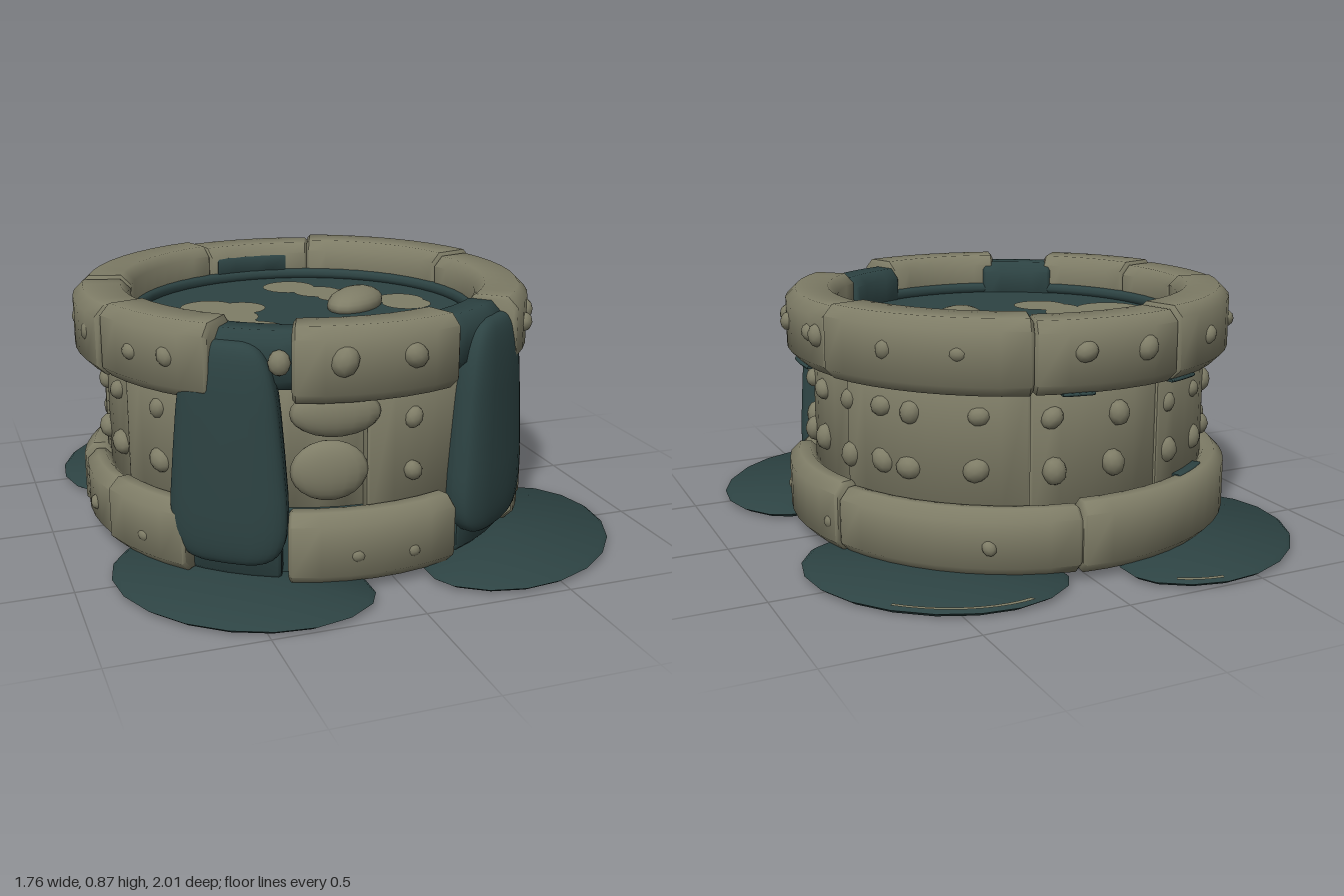
import * as THREE from 'three';
import { toCreasedNormals } from 'three/addons/utils/BufferGeometryUtils.js';

const RAD = Math.PI / 180;
const stone = new THREE.MeshStandardMaterial({ name: 'stone', color: 0x7f7d67 });
const water = new THREE.MeshStandardMaterial({ name: 'water', color: 0x2d4343 });
const waterSheet = new THREE.MeshStandardMaterial({ name: 'water sheet', color: 0x2d4343, side: THREE.DoubleSide });

let seed = 7;
const rand = () => (seed = (seed * 16807) % 2147483647) / 2147483647;
const points = list => list.map(([x, y]) => new THREE.Vector2(x, y));

function add(parent, name, geo, mat, x = 0, y = 0, z = 0) {
  const m = new THREE.Mesh(geo, mat);
  m.name = name;
  m.position.set(x, y, z);
  parent.add(m);
  return m;
}

// Curved block with a bevelled cross-section; angles run in degrees from +z towards +x
function block(r0, r1, y0, y1, a0, a1, b = 0.035) {
  const prof = [[r1 - b, y0], [r1, y0 + b], [r1, y1 - b], [r1 - b, y1],
    [r0 + b, y1], [r0, y1 - b], [r0, y0 + b], [r0 + b, y0]];
  const n = prof.length, cr = (r0 + r1) / 2, cy = (y0 + y1) / 2;
  const steps = Math.max(3, Math.round((a1 - a0) / 7));
  const rings = [[a0, 0.9], [a1, 0.9]];
  for (let i = 0; i <= steps; i++) rings.splice(-1, 0, [a0 + 0.8 + (a1 - a0 - 1.6) * i / steps, 1]);
  const pos = [], idx = [];
  const put = (r, y, a) => pos.push(r * Math.sin(a * RAD), y, r * Math.cos(a * RAD));
  for (const [a, s] of rings) for (const [r, y] of prof) put(cr + (r - cr) * s, cy + (y - cy) * s, a);
  for (let i = 0; i < rings.length - 1; i++) for (let j = 0; j < n; j++) {
    const p = i * n + j, q = i * n + (j + 1) % n;
    idx.push(p, p + n, q + n, p, q + n, q);
  }
  const c = rings.length * n, last = c - n;
  put(cr, cy, a0);
  put(cr, cy, a1);
  for (let j = 0; j < n; j++) {
    const k = (j + 1) % n;
    idx.push(c, j, k, c + 1, last + k, last + j);
  }
  const g = new THREE.BufferGeometry();
  g.setAttribute('position', new THREE.Float32BufferAttribute(pos, 3));
  g.setIndex(idx);
  return toCreasedNormals(g, 0.85);
}

// Soft slab wrapped round the drum, wider at the bottom
function cascade(centre, halfTop, halfBottom) {
  const g = new THREE.SphereGeometry(1, 28, 24);
  const p = g.attributes.position;
  const soft = v => Math.sign(v) * Math.abs(v) ** 0.5;
  for (let i = 0; i < p.count; i++) {
    const x = soft(p.getX(i)), y = soft(p.getY(i)), z = soft(p.getZ(i));
    const half = THREE.MathUtils.lerp(halfBottom, halfTop, (y + 1) / 2);
    const a = (centre + x * half * 1.06) * RAD, r = 0.735 + 0.07 * z - 0.012 * y;
    p.setXYZ(i, r * Math.sin(a), 0.455 + 0.365 * y, r * Math.cos(a));
  }
  g.computeVertexNormals();
  return g;
}

function boulder(parent, name, x, y, z, sx, sy, sz, turn) {
  const m = add(parent, name, new THREE.SphereGeometry(1, 16, 12), stone, x, y, z);
  m.scale.set(sx, sy, sz);
  m.rotation.y = turn;
}

export function createModel() {
  const model = new THREE.Group();
  model.name = 'fountain';
  const drum = new THREE.Group();
  drum.name = 'drum';
  drum.position.x = -0.065;
  model.add(drum);

  // Stone courses, open at the front where water spills: start, end, outer radius
  const rim = [[-21, 21, 0.785], [45, 106, 0.795], [106, 160, 0.805], [160, 198, 0.795],
    [198, 254, 0.795], [254, 286, 0.81], [286, 320, 0.8]];
  const wall = [[-2, 47], [47, 106], [106, 160], [160, 198], [198, 258], [258, 286], [286, 335]];
  const base = [[-22, 20], [51, 66], [66, 109], [109, 172], [172, 260], [260, 286], [286, 313]];
  rim.forEach(([a, b, r], i) => add(drum, 'rimStone', block(0.61, r, 0.63, i % 2 ? 0.865 : 0.875, a, b), stone));
  wall.forEach(([a, b], i) => add(drum, 'wallPanel',
    block(0.66, i % 2 ? 0.705 : 0.715, 0.2, 0.68, a, b, 0.012), stone));
  base.forEach(([a, b], i) => add(drum, 'baseStone',
    block(0.69, i % 2 ? 0.79 : 0.8, 0.035, i % 2 ? 0.26 : 0.275, a, b), stone));

  // Recess filled with boulders
  add(drum, 'recessPanel', block(0.66, 0.675, 0.2, 0.68, -30, 0, 0.005), stone);
  boulder(drum, 'recessBoulder', -0.145, 0.395, 0.69, 0.125, 0.1, 0.045, -0.2);
  boulder(drum, 'recessBoulder', -0.125, 0.585, 0.69, 0.145, 0.08, 0.045, -0.2);

  // Water lining, surface and lip
  const lining = points([[0.69, 0.035], [0.685, 0.25], [0.657, 0.27], [0.655, 0.62], [0.606, 0.65], [0.605, 0.755]]);
  add(drum, 'innerLining', toCreasedNormals(new THREE.LatheGeometry(lining, 48), 0.7), waterSheet);
  const surface = add(drum, 'waterSurface', new THREE.CircleGeometry(0.63, 48), waterSheet, 0, 0.73, 0);
  surface.rotation.x = -Math.PI / 2;
  const lip = add(drum, 'waterLip', new THREE.TorusGeometry(0.613, 0.022, 8, 48), water, 0, 0.745, 0);
  lip.rotation.x = Math.PI / 2;

  // Wet patches on the stone
  add(drum, 'wetRimPatch', block(0.604, 0.64, 0.74, 0.825, 168, 195, 0.008), water);
  for (const [a, b] of [[80, 93], [167, 175], [198, 208]])
    add(drum, 'wetUndersidePatch', block(0.72, 0.775, 0.624, 0.634, a, b, 0.003), water);
  add(drum, 'wetBasePatch', block(0.7, 0.745, 0.255, 0.28, 206, 220, 0.004), water);

  // Bare stone showing through the lining
  add(drum, 'bareStrip', block(0.648, 0.67, 0.28, 0.61, -25, -21, 0.004), stone);
  add(drum, 'barePatch', block(0.678, 0.70, 0.13, 0.23, -6, 10, 0.004), stone);

  // Spilling water: channel through the rim, falling slab, foot
  for (const [gap, centre, top, bottom] of [[33, 40, 12, 18], [-30, -37, 11, 15.5]]) {
    add(drum, 'spillChannel', block(0.59, 0.74, 0.66, 0.85, gap - 13, gap + 13, 0.035), water);
    add(drum, 'cascade', cascade(centre, top, bottom), water);
    add(drum, 'cascadeFoot', block(0.685, 0.745, 0.03, 0.3, centre - 15, centre + 13, 0.02), water);
  }

  // Studs scattered over the courses
  const stud = (a, y, r, size) => {
    const m = add(drum, 'stud', new THREE.IcosahedronGeometry(size, 1),
      stone, r * Math.sin(a * RAD), y, r * Math.cos(a * RAD));
    m.rotation.set(0, a * RAD, rand() * 3, 'YXZ');
    m.scale.set(0.9, 1.05, 0.8);
  };
  stud(-24, 0.76, 0.75, 0.04);
  stud(-9, 0.77, 0.775, 0.05);
  stud(8, 0.77, 0.775, 0.045);
  for (const a of [55, 68, 80, 98, 102, 125, 143, 172, 188, 212, 235, 262, 278, 298, 309])
    stud(a, 0.75 + rand() * 0.02, 0.79, 0.028 + rand() * 0.014);
  for (const y of [0.545, 0.365]) {
    stud(11, y, 0.715, 0.035);
    for (const a of [64, 75, 90, 105, 118, 127, 146, 165, 183, 202, 217, 232, 247, 263, 279, 299])
      stud(a + rand() * 2, y + (rand() - 0.5) * 0.02, 0.705, y < 0.5 ? 0.045 : 0.034 + rand() * 0.01);
  }
  for (const a of [-6, 8, 73, 105, 150, 275, 300]) stud(a, 0.12 + rand() * 0.02, 0.787, 0.026);

  // Moss patches and a stone on the water: x, z, radius
  const moss = [[-0.37, -0.18, 0.1], [-0.26, -0.13, 0.09], [-0.5, 0, 0.125], [-0.35, -0.02, 0.12],
    [-0.29, 0.17, 0.1], [-0.33, 0.1, 0.08], [0.01, -0.4, 0.1], [0.09, -0.29, 0.09],
    [0.15, -0.23, 0.08], [0.12, -0.18, 0.06], [0.34, -0.07, 0.09], [0.34, 0.0, 0.09]];
  for (const [x, z, r] of moss) {
    const patch = add(model, 'mossPatch', new THREE.CircleGeometry(r, 20), stone, x, 0.735, z);
    patch.rotation.x = -Math.PI / 2;
  }
  boulder(model, 'waterStone', 0.155, 0.745, -0.05, 0.15, 0.055, 0.09, 0.78);

  // Four flat pools round the foot, flatter on the side facing the drum
  const profile = points([[0, 0.01], [0.94, 0.01], [1, 0.026], [0.96, 0.038], [0, 0.04]]);
  const poolGeo = new THREE.LatheGeometry(profile, 20);
  const p = poolGeo.attributes.position;
  for (let i = 0; i < p.count; i++) if (p.getZ(i) < 0) p.setZ(i, p.getZ(i) * 0.65);
  const softPool = toCreasedNormals(poolGeo, 0.9);
  // x, z, heading, start and length of the mossy edge
  const pools = [[0.465, 0.565, 45], [0.435, -0.495, 135, -90, 62], [-0.47, -0.595, 225, 190, 24], [-0.465, 0.59, 315]];
  for (const [x, z, a, start, length] of pools) {
    const pool = add(model, 'pool', softPool, water, x, 0, z);
    pool.scale.set(0.455, 1, 0.365);
    pool.rotation.y = a * RAD;
    if (length) {
      const edge = add(pool, 'mossEdge', new THREE.RingGeometry(0.95, 0.99, 10, 1, start * RAD, length * RAD), stone, 0, 0.041, 0);
      edge.rotation.x = -Math.PI / 2;
    }
  }
  return model;
}
